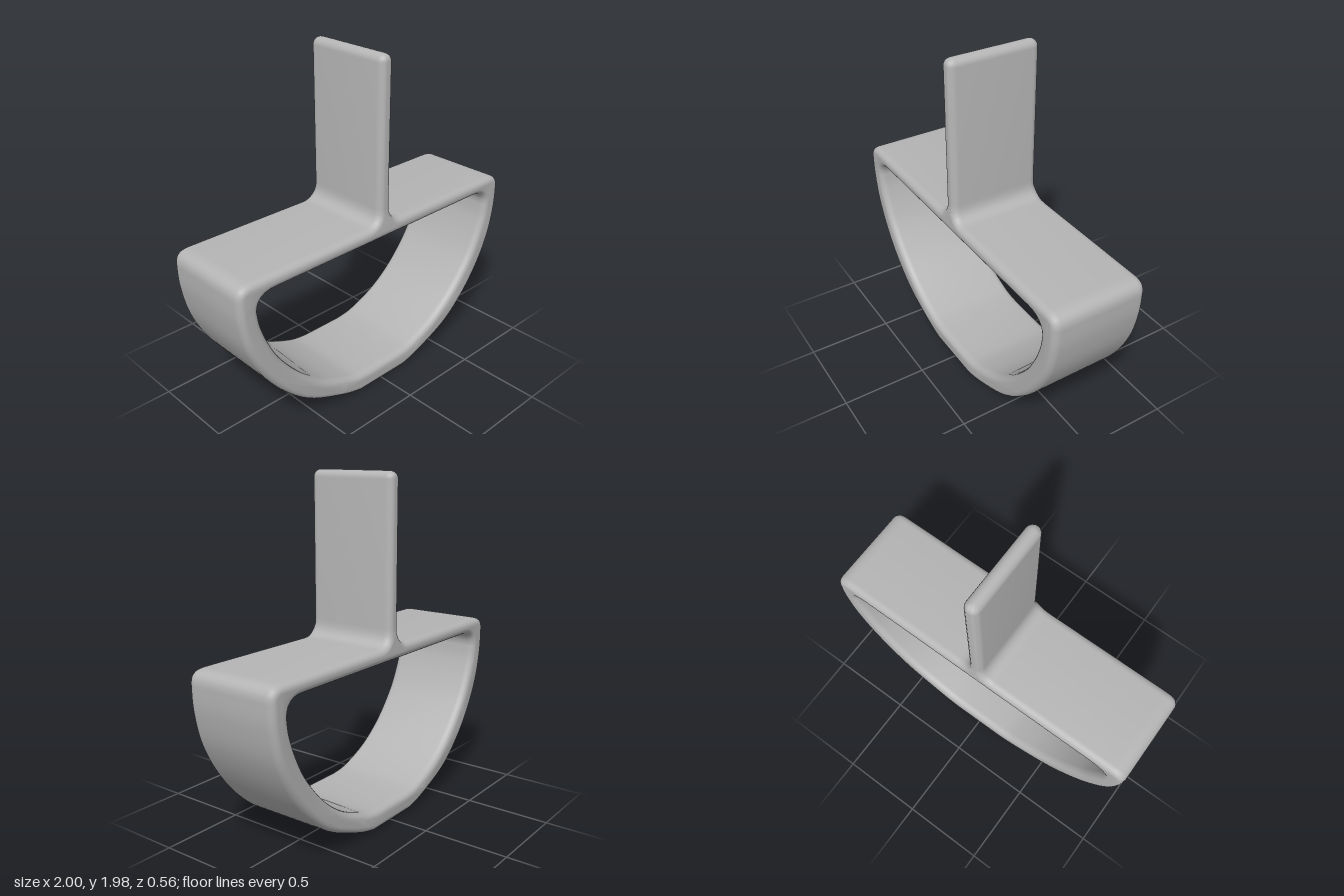
import * as THREE from 'three';
import { mergeVertices, toCreasedNormals } from 'three/addons/utils/BufferGeometryUtils.js';

const HALF_DEPTH = 0.282, BLADE_HALF_DEPTH = 0.272;
const BLADE = 0.043, BLADE_TOP = 1.985;   // blade half thickness and height
const BAR_TOP = 1.045, BAR_BOTTOM = 0.962;

// Right half of the bowl, listed from the bottom up
const outerBowl = [[0.18, 0.008], [0.31, 0.043], [0.55, 0.147], [0.72, 0.286], [0.855, 0.457], [0.95, 0.645], [0.993, 0.83], [1, 0.97]];
const innerBowl = [[0.135, 0.125], [0.257, 0.145], [0.445, 0.227], [0.605, 0.35], [0.74, 0.51], [0.815, 0.645], [0.865, 0.78], [0.88, 0.875]];

const points = (list, side) => list.map(([x, y]) => new THREE.Vector2(side * x, y));

// Follow one half of the bowl: up the right side, or down the left
function addBowl(path, list, side) {
  const p = points(list, side);
  if (side < 0) p.reverse();
  path.lineTo(p[0].x, p[0].y);
  path.splineThru(p.slice(1));
}

function createProfile() {
  // Outer outline, counter-clockwise: bowl, bar end, blade, bar end, bowl
  const shape = new THREE.Shape();
  shape.moveTo(-outerBowl[0][0], outerBowl[0][1]);
  addBowl(shape, outerBowl, 1);
  shape.quadraticCurveTo(1, BAR_TOP, 0.91, BAR_TOP);
  shape.lineTo(0.13, BAR_TOP);
  shape.quadraticCurveTo(BLADE, BAR_TOP, BLADE, 1.14);
  shape.lineTo(BLADE, BLADE_TOP - BLADE);
  shape.absarc(0, BLADE_TOP - BLADE, BLADE, 0, Math.PI, false);
  shape.lineTo(-BLADE, 1.14);
  shape.quadraticCurveTo(-BLADE, BAR_TOP, -0.13, BAR_TOP);
  shape.lineTo(-0.91, BAR_TOP);
  shape.quadraticCurveTo(-1, BAR_TOP, -1, 0.97);
  addBowl(shape, outerBowl, -1);

  // D-shaped opening with rounded upper corners
  const hole = new THREE.Path();
  hole.moveTo(-innerBowl[0][0], innerBowl[0][1]);
  addBowl(hole, innerBowl, 1);
  hole.quadraticCurveTo(0.88, BAR_BOTTOM, 0.77, BAR_BOTTOM);
  hole.lineTo(-0.77, BAR_BOTTOM);
  hole.quadraticCurveTo(-0.88, BAR_BOTTOM, -0.88, 0.875);
  addBowl(hole, innerBowl, -1);
  shape.holes.push(hole);
  return shape;
}

export function createModel() {
  const gray = new THREE.MeshStandardMaterial({ color: 0xb4b4b4 });
  gray.name = 'gray';

  // The body is one band with rounded front and back edges
  const bevel = 0.036, round = 0.045;
  let geometry = new THREE.ExtrudeGeometry(createProfile(), {
    depth: 2 * (HALF_DEPTH - round), curveSegments: 6,
    bevelEnabled: true, bevelSize: bevel, bevelOffset: -bevel, bevelThickness: round, bevelSegments: 6,
  });
  geometry.translate(0, 0, -(HALF_DEPTH - round));

  // The blade is slightly narrower than the bar
  const pos = geometry.attributes.position;
  for (let i = 0; i < pos.count; i++) {
    const t = THREE.MathUtils.smoothstep(pos.getY(i), BAR_TOP, 1.12);
    pos.setZ(i, pos.getZ(i) * THREE.MathUtils.lerp(1, BLADE_HALF_DEPTH / HALF_DEPTH, t));
  }

  // Smooth shading over the rounded edges
  geometry.deleteAttribute('uv');
  geometry.deleteAttribute('normal');
  geometry = toCreasedNormals(mergeVertices(geometry, 1e-4), 0.6);

  const body = new THREE.Mesh(geometry, gray);
  body.name = 'bowlBarAndBlade';
  const group = new THREE.Group();
  group.name = 'bladedBowlFrame';
  group.add(body);
  return group;
}
